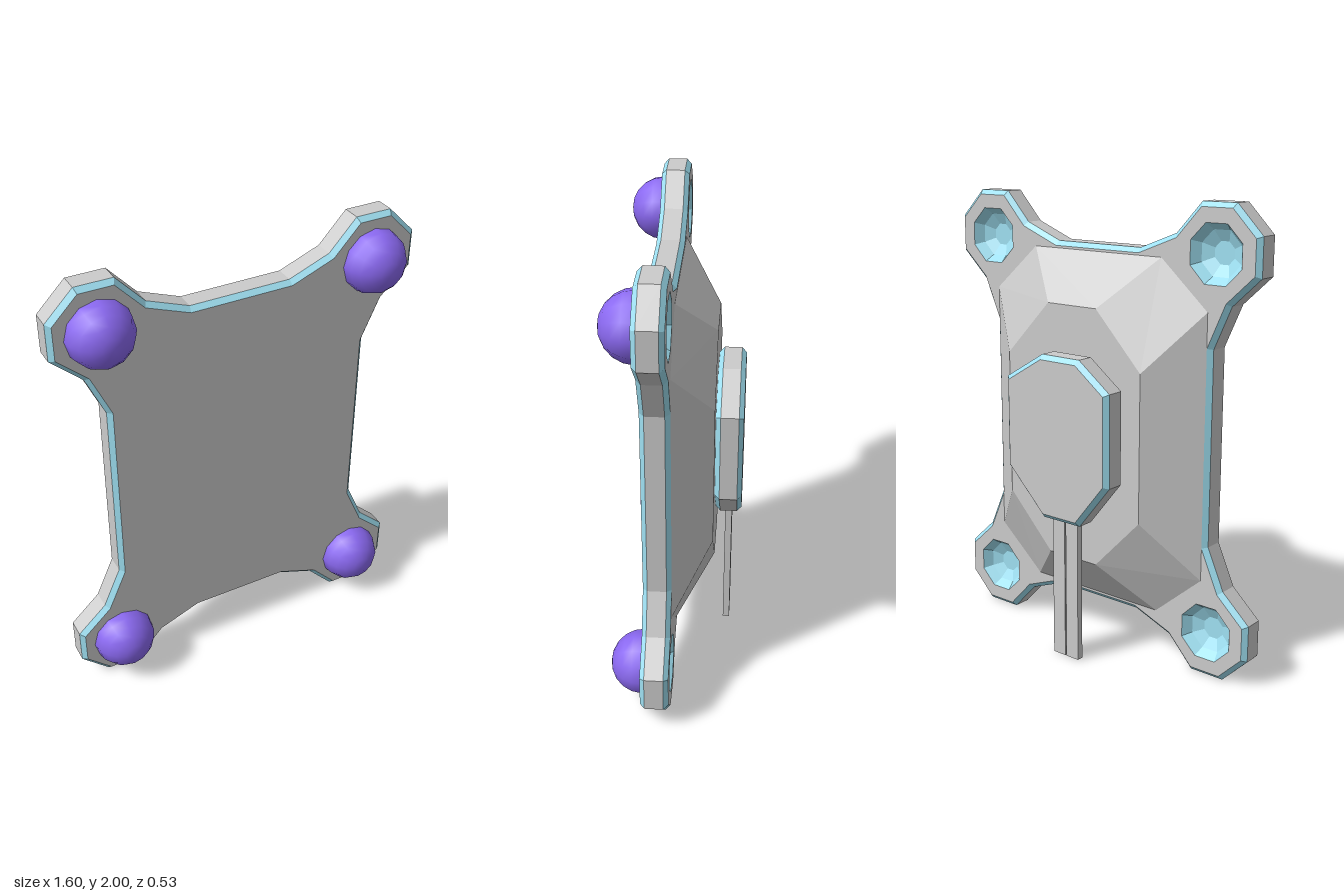
import * as THREE from 'three';
import { mergeGeometries } from 'three/addons/utils/BufferGeometryUtils.js';

const grey = new THREE.MeshStandardMaterial({ color: 0xcccccc, flatShading: true });
const blue = new THREE.MeshStandardMaterial({ color: 0x9fe0f2, flatShading: true });
const purple = new THREE.MeshStandardMaterial({ color: 0x8a68f0 });

const vec = (x, y) => new THREE.Vector2(x, y);

// Quarter outline (counter-clockwise, around the origin) mirrored to a full loop
function mirrorQuarter(q) {
  const top = [...q, ...[...q].reverse().map(([x, y]) => [-x, y])];
  return [...top, ...[...top].reverse().map(([x, y]) => [x, -y])].map(([x, y]) => vec(x, y + 1));
}

// Mitred inset of a counter-clockwise outline
function inset(pts, d) {
  const n = pts.length;
  return pts.map((p, i) => {
    const a = p.clone().sub(pts[(i + n - 1) % n]).normalize();
    const b = pts[(i + 1) % n].clone().sub(p).normalize();
    const na = vec(-a.y, a.x), nb = vec(-b.y, b.x);
    return p.clone().add(na.clone().add(nb).multiplyScalar(d / (1 + na.dot(nb))));
  });
}

// Flat-sided band between ring a (nearer the front) and ring b
function band(a, za, b, zb) {
  const pos = [];
  a.forEach((p, i) => {
    const j = (i + 1) % a.length;
    const A = [p.x, p.y, za], B = [b[i].x, b[i].y, zb];
    const C = [b[j].x, b[j].y, zb], D = [a[j].x, a[j].y, za];
    pos.push(...A, ...B, ...C, ...A, ...C, ...D);
  });
  const g = new THREE.BufferGeometry();
  g.setAttribute('position', new THREE.Float32BufferAttribute(pos, 3));
  g.computeVertexNormals();
  return g;
}

// Flat cap facing the front or the back, with optional holes
function cap(pts, z, front, holes = []) {
  const flip = (loop) => (front ? loop : loop.map((p) => vec(-p.x, p.y)));
  const shape = new THREE.Shape(flip(pts));
  shape.holes = holes.map((h) => new THREE.Path(flip(h)));
  let g = new THREE.ShapeGeometry(shape);
  if (!front) g.rotateY(Math.PI);
  g.translate(0, 0, z);
  g = g.toNonIndexed();
  g.deleteAttribute('uv');
  return g;
}

function part(name, geometry, material) {
  const mesh = new THREE.Mesh(geometry, material);
  mesh.name = name;
  return mesh;
}

// Slab with grey faces and blue chamfers
function slab(name, pts, zf, zb, bevel, holes) {
  const inner = inset(pts, bevel);
  const group = new THREE.Group();
  group.name = name;
  group.add(
    part(name + 'Body', mergeGeometries([
      cap(inner, zf, true),
      band(pts, zf - bevel, pts, zb + bevel),
      cap(inner, zb, false, holes),
    ]), grey),
    part(name + 'Chamfer', mergeGeometries([
      band(inner, zf, pts, zf - bevel),
      band(pts, zb + bevel, inner, zb),
    ]), blue),
  );
  return group;
}

// Octagon loop around a centre
const octagon = (cx, cy, r) => Array.from({ length: 8 }, (_, i) => {
  const t = (i + 0.5) * Math.PI / 4;
  return vec(cx + r * Math.cos(t), cy + r * Math.sin(t));
});

export function createModel() {
  const model = new THREE.Group();
  const corners = [[-0.6, 0.2], [0.6, 0.2], [-0.6, 1.8], [0.6, 1.8]];

  // Main plate with four lobed corners
  const outline = mirrorQuarter([
    [0.59, 0.42], [0.67, 0.6], [0.8, 0.72], [0.8, 0.88],
    [0.68, 1], [0.52, 1], [0.4, 0.87], [0.22, 0.8],
  ]);
  model.add(slab('plate', outline, 0.13, 0.01, 0.02, corners.map(([x, y]) => octagon(x, y, 0.13))));

  // Round studs on the front, faceted dimples behind them
  for (const [x, y] of corners) {
    const dome = new THREE.SphereGeometry(0.14, 12, 5, 0, Math.PI * 2, 0, Math.PI / 2).rotateX(Math.PI / 2);
    const stud = part('stud', dome, purple);
    stud.position.set(x, y, 0.128);
    const rings = [0.13, 0.1, 0.05].map((r) => octagon(x, y, r));
    const rev = rings.map((r) => [...r].reverse());
    const dimple = part('dimple', mergeGeometries([
      band(rev[1], 0.05, rev[0], 0.01),
      band(rev[2], 0.075, rev[1], 0.05),
      cap(rings[2], 0.075, false),
    ]), blue);
    model.add(stud, dimple);
  }

  // Tapered housing on the back
  const base = mirrorQuarter([[0.57, 0.57], [0.34, 0.77]]);
  const top = mirrorQuarter([[0.36, 0.32], [0.13, 0.56]]);
  model.add(part('backHousing', mergeGeometries([
    band(base, 0.01, top, -0.15), cap(top, -0.15, false),
  ]), grey));

  // Eight-sided cable block
  const block = [
    [0.28, 0.84], [0.28, 1.24], [0.08, 1.36], [-0.12, 1.36],
    [-0.28, 1.24], [-0.28, 0.84], [-0.12, 0.64], [0.08, 0.64],
  ].map(([x, y]) => vec(x, y));
  model.add(slab('cableBlock', block, -0.15, -0.265, 0.02));

  // Flat twin cable hanging from the block
  for (const x of [-0.055, 0.018]) {
    const strand = part('cableStrand', new THREE.BoxGeometry(0.066, 0.68, 0.03), grey);
    strand.position.set(x, 0.34, -0.207);
    model.add(strand);
  }
  const web = part('cableWeb', new THREE.BoxGeometry(0.02, 0.68, 0.018), grey);
  web.position.set(-0.018, 0.34, -0.207);
  model.add(web);

  return model;
}
